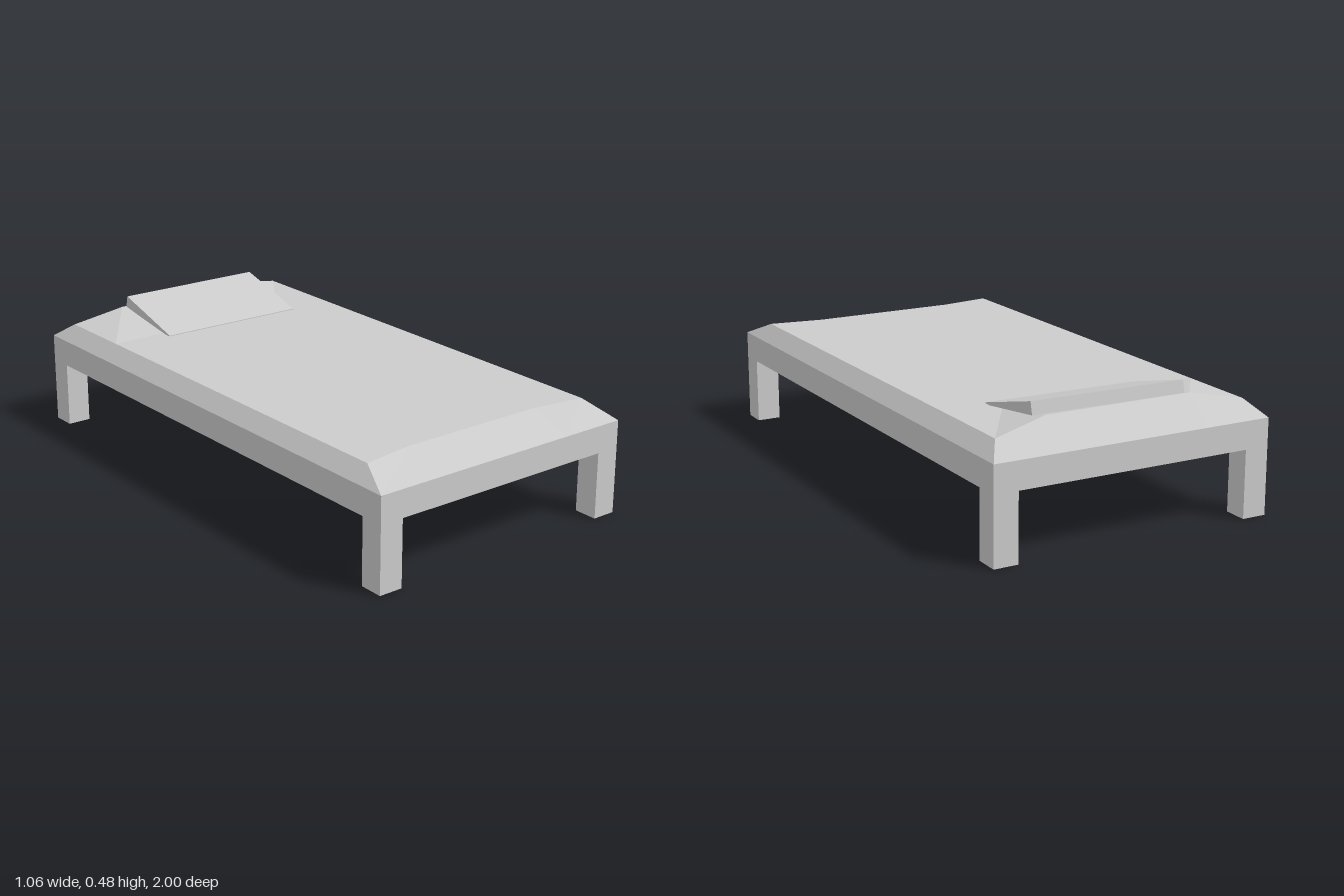
import * as THREE from 'three';

const material = new THREE.MeshStandardMaterial({ color: 0xcccccc, flatShading: true });

function addBox(group, name, [w, h, d], [x, y, z]) {
  const mesh = new THREE.Mesh(new THREE.BoxGeometry(w, h, d), material);
  mesh.name = name;
  mesh.position.set(x, y, z);
  group.add(mesh);
}

// Mattress: a grid with bevelled rim, lifted towards the head under the pillow
function mattressGeometry() {
  const xs = [-0.53, -0.48, -0.28, 0.28, 0.48, 0.53];
  const zs = [-1, -0.92, -0.62, 0.87, 1];
  const geometry = new THREE.PlaneGeometry(1, 1, 5, 4);
  const p = geometry.attributes.position;
  for (let r = 0; r < 5; r++) {
    for (let c = 0; c < 6; c++) {
      const endRow = r === 0 || r === 4;
      const middle = c === 2 || c === 3;
      let x = xs[c], y = 0.4, z = zs[r];
      if (endRow || c === 0 || c === 5) y = 0.345;
      // Rim corners merge so that the bevels meet in a hip
      if (endRow && !middle) x = Math.sign(x) * 0.53;
      if (middle && r === 1) { z = -0.89; y = 0.44; }
      if (middle && r === 3) z = 0.84;
      p.setXYZ(r * 6 + c, x, y, z);
    }
  }
  geometry.computeVertexNormals();
  return geometry;
}

// Pillow: a box whose corners are moved into a slightly turned wedge
function pillowGeometry() {
  const geometry = new THREE.BoxGeometry(2, 2, 2);
  const p = geometry.attributes.position;
  for (let i = 0; i < p.count; i++) {
    const left = p.getX(i) > 0, top = p.getY(i) > 0, front = p.getZ(i) > 0;
    const x = left ? (front ? 0.308 : 0.315) : (front ? -0.271 : -0.263);
    const y = front ? (top ? 0.403 : 0.396) : (top ? 0.483 : 0.438);
    const z = (front ? -0.56 : top ? -0.867 : -0.877) + (left ? 0.009 : -0.009);
    p.setXYZ(i, x, y, z);
  }
  geometry.computeVertexNormals();
  return geometry;
}

export function createModel() {
  const group = new THREE.Group();
  group.name = 'bed';

  addBox(group, 'frame', [1.06, 0.1, 2], [0, 0.295, 0]);
  for (const sx of [-1, 1]) {
    for (const sz of [-1, 1]) {
      const name = (sz > 0 ? 'front' : 'back') + (sx > 0 ? 'Left' : 'Right') + 'Leg';
      addBox(group, name, [0.09, 0.245, 0.09], [sx * 0.485, 0.1225, sz * 0.955]);
    }
  }

  const mattress = new THREE.Mesh(mattressGeometry(), material);
  mattress.name = 'mattress';
  const pillow = new THREE.Mesh(pillowGeometry(), material);
  pillow.name = 'pillow';
  group.add(mattress, pillow);
  return group;
}
